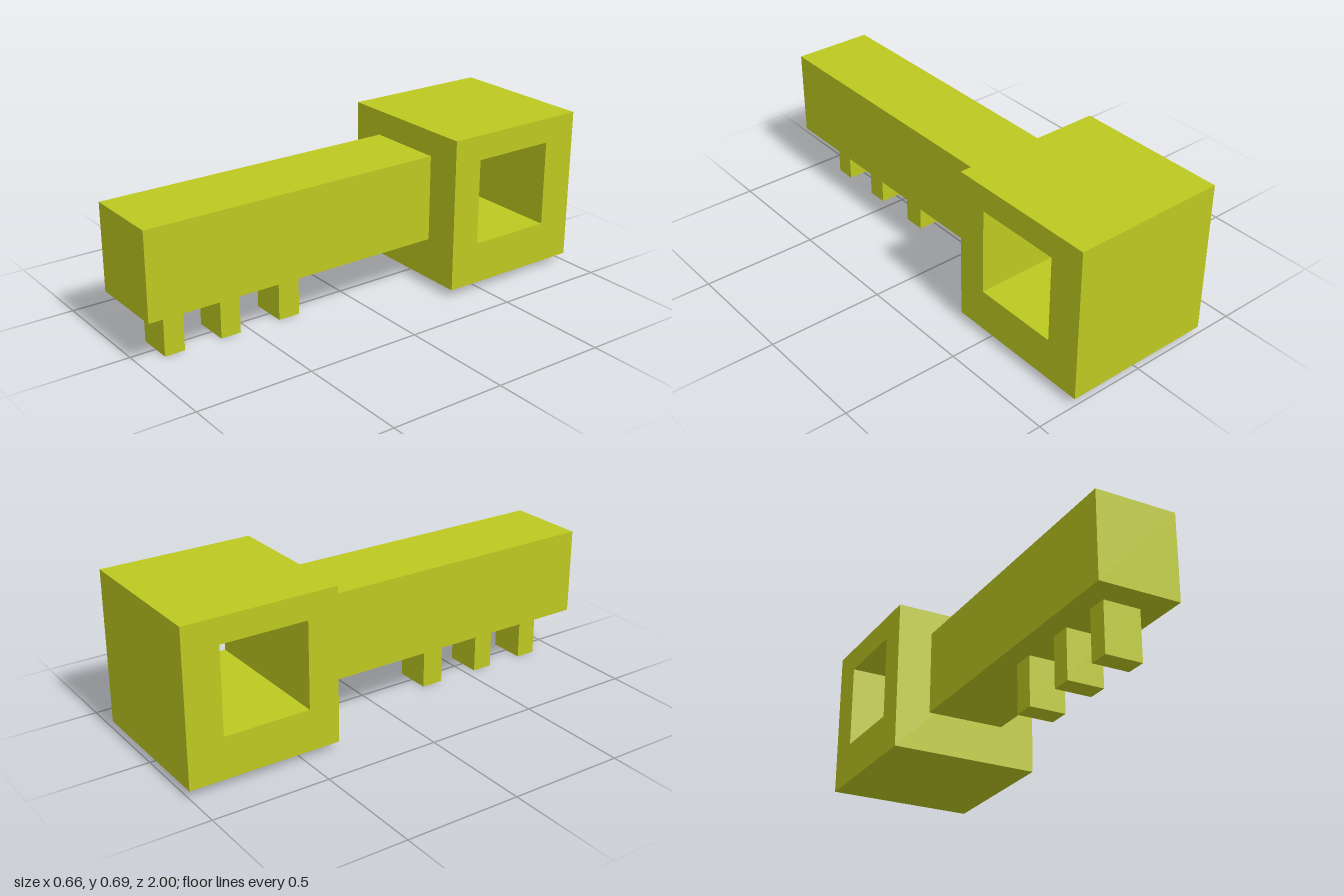
import * as THREE from 'three';

export function createModel() {
  const model = new THREE.Group();
  model.name = 'key';
  const material = new THREE.MeshStandardMaterial({ color: 0xbdc920 });

  const add = (name, geometry) => {
    const mesh = new THREE.Mesh(geometry, material);
    mesh.name = name;
    model.add(mesh);
    return mesh;
  };

  // Box given by its lower and upper corners
  const block = (name, [x0, y0, z0], [x1, y1, z1]) =>
    add(name, new THREE.BoxGeometry(x1 - x0, y1 - y0, z1 - z0))
      .position.set((x0 + x1) / 2, (y0 + y1) / 2, (z0 + z1) / 2);

  const rectangle = (path, x0, y0, x1, y1) =>
    path.moveTo(x0, y0).lineTo(x1, y0).lineTo(x1, y1).lineTo(x0, y1).closePath();

  // Bow: cube with a square hole running from side to side
  const profile = rectangle(new THREE.Shape(), 0.34, 0.034, 1, 0.695);
  profile.holes.push(rectangle(new THREE.Path(), 0.473, 0.214, 0.847, 0.587));
  const bow = add('bow', new THREE.ExtrudeGeometry(profile, { depth: 0.66, bevelEnabled: false }));
  bow.rotation.y = Math.PI / 2;
  bow.position.x = -0.33;

  // Shaft
  block('shaft', [-0.175, 0.214, -0.34], [0.172, 0.587, 1]);

  // Teeth under the shaft
  for (const [back, front] of [[0.8, 0.888], [0.545, 0.635], [0.263, 0.36]]) {
    block('tooth', [-0.084, 0, back], [0.074, 0.214, front]);
  }

  return model;
}
